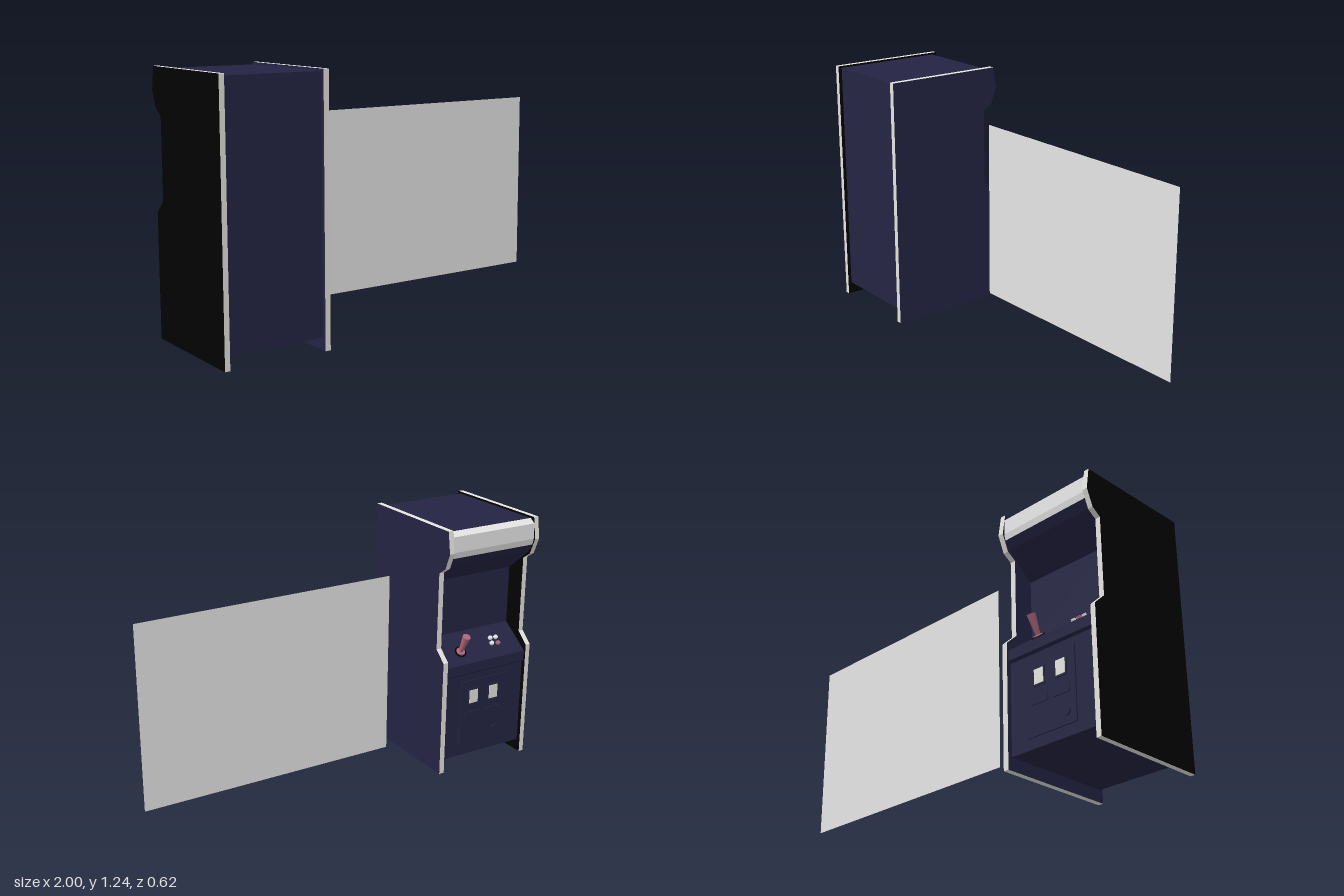
import * as THREE from 'three';

const mat = (name, color, side = THREE.FrontSide) => {
  const m = new THREE.MeshStandardMaterial({ color, side });
  m.name = name;
  return m;
};

export function createModel() {
  const root = new THREE.Group();
  const cabinet = new THREE.Group();
  cabinet.name = 'arcadeCabinet';
  root.add(cabinet);

  const navy = mat('navy', 0x242444);
  const black = mat('black', 0x020202);
  const trim = mat('trimGrey', 0xe6e5e0);
  const white = mat('white', 0xe8e8e8);
  const rose = mat('rose', 0xb0687c);
  const sheet = mat('sheetGrey', 0xe6e6e6, THREE.DoubleSide);

  const add = (parent, name, geo, material, x = 0, y = 0, z = 0) => {
    const mesh = new THREE.Mesh(geo, material);
    mesh.name = name;
    mesh.position.set(x, y, z);
    parent.add(mesh);
    return mesh;
  };

  // Extrudes a [z, y] profile along x, from xMin to xMax
  const profile = (name, points, xMin, xMax, material) => {
    const shape = new THREE.Shape(points.map(([z, y]) => new THREE.Vector2(z, y)));
    const geo = new THREE.ExtrudeGeometry(shape, { depth: xMax - xMin, bevelEnabled: false });
    geo.rotateY(-Math.PI / 2);
    return add(cabinet, name, geo, material, xMax);
  };

  // Side boards: one black, one navy, both with a pale edge strip
  const sideOutline = [
    [0.308, 0], [0.308, 1.235], [-0.29, 1.235], [-0.307, 1.13], [-0.275, 1.05],
    [-0.23, 1.02], [-0.23, 0.64], [-0.29, 0.585], [-0.29, 0],
  ];
  profile('rightSideBoard', sideOutline, -1, -0.975, [black, trim]);
  profile('leftSideBoard', sideOutline, -0.502, -0.475, [navy, trim]);

  // Body between the boards, with screen recess, control panel and lip
  profile('cabinetBody', [
    [0.29, 0.06], [0.29, 1.225], [-0.265, 1.225], [-0.265, 1.1], [-0.29, 1.1],
    [-0.265, 1.06], [-0.13, 0.945],
    [-0.13, 0.66], [-0.28, 0.55], [-0.28, 0.5], [-0.268, 0.49], [-0.268, 0.06],
  ], -0.975, -0.502, navy);

  // Illuminated header
  profile('marquee', [
    [-0.265, 1.225], [-0.295, 1.205], [-0.297, 1.13], [-0.29, 1.1], [-0.265, 1.1],
  ], -0.975, -0.502, white);

  // Controls, standing square to the sloping panel
  const controls = new THREE.Group();
  controls.name = 'controls';
  controls.position.set(-0.74, 0.605, -0.205);
  controls.rotation.x = -Math.atan2(0.11, 0.15);
  cabinet.add(controls);
  add(controls, 'joystickRing', new THREE.CylinderGeometry(0.03, 0.03, 0.004, 24), black, 0.115, 0.002, -0.02);
  add(controls, 'joystickBase', new THREE.CylinderGeometry(0.02, 0.025, 0.01, 24), rose, 0.115, 0.005, -0.02);
  const buttons = [
    [-0.115, -0.018, rose], [-0.08, -0.012, white], [-0.088, 0.018, white], [-0.12, 0.016, white],
  ];
  for (const [x, z, m] of buttons) {
    add(controls, 'button', new THREE.CylinderGeometry(0.01, 0.012, 0.01, 16), m, x, 0.005, z);
  }

  // Stick, more upright than the panel normal and wider at the top
  const stick = add(cabinet, 'joystick', new THREE.CylinderGeometry(0.02, 0.01, 0.104, 20), rose, -0.625, 0.64, -0.243);
  stick.rotation.x = -0.45;

  // Coin door on the lower front
  const door = new THREE.Group();
  door.name = 'coinDoor';
  door.position.set(-0.733, 0, -0.268);
  cabinet.add(door);
  add(door, 'doorPlate', new THREE.BoxGeometry(0.267, 0.345, 0.006), navy, 0, 0.283, -0.003);
  for (const x of [-0.06, 0.06]) {
    add(door, 'coinSlotFrame', new THREE.BoxGeometry(0.062, 0.084, 0.006), navy, x, 0.372, -0.008);
    add(door, 'coinSlot', new THREE.BoxGeometry(0.05, 0.068, 0.004), trim, x, 0.372, -0.012);
    add(door, 'coinReturn', new THREE.BoxGeometry(0.09, 0.04, 0.006), navy, x, 0.27, -0.008);
  }
  const lock = add(door, 'doorLock', new THREE.CylinderGeometry(0.019, 0.019, 0.008, 20), navy, -0.085, 0.167, -0.009);
  lock.rotation.x = Math.PI / 2;

  // Free-standing flat sheet beside the cabinet
  add(root, 'flatSheet', new THREE.PlaneGeometry(1.278, 0.885), sheet, 0.361, 0.565, -0.11);

  return root;
}
